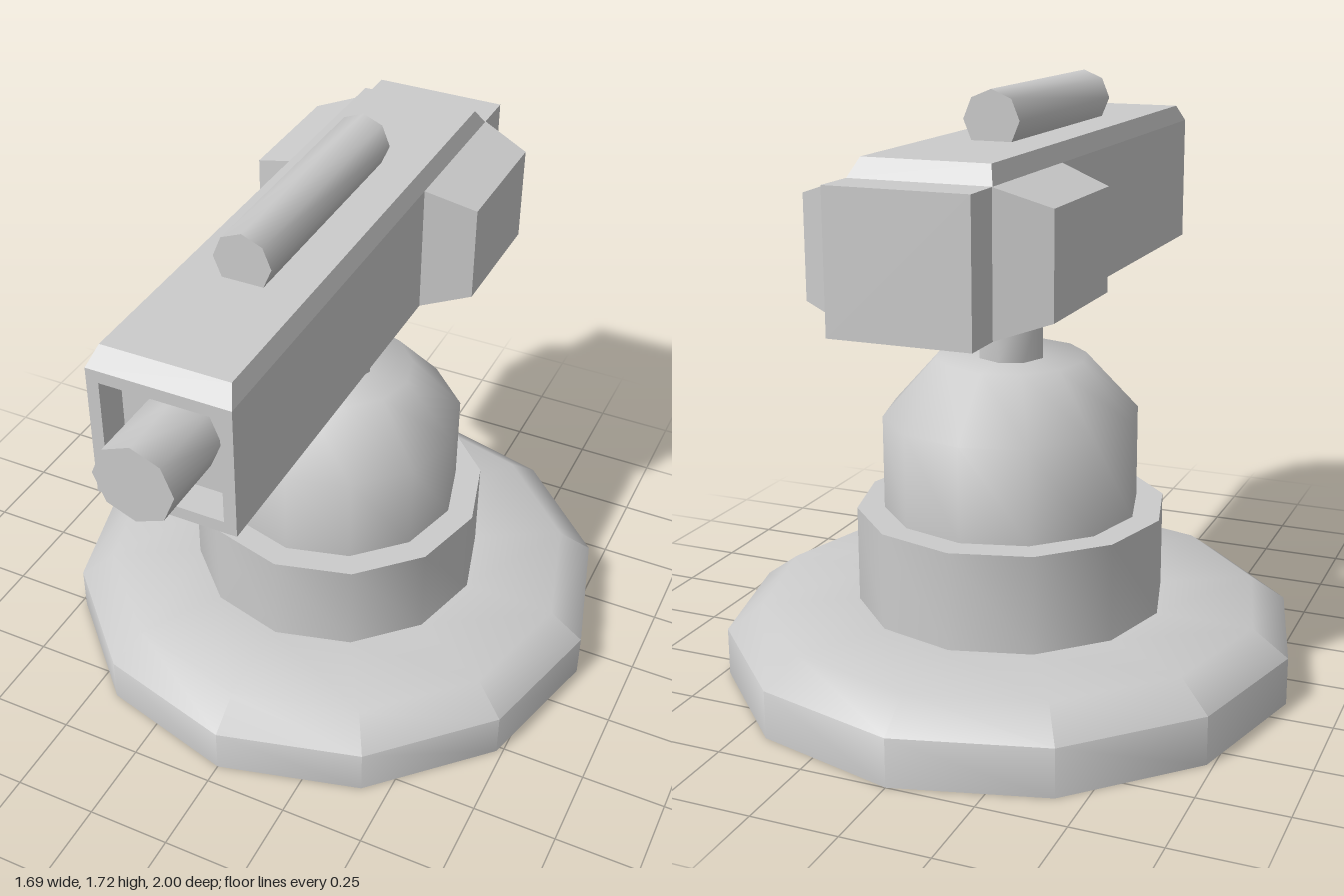
import * as THREE from 'three';
import { toCreasedNormals } from 'three/addons/utils/BufferGeometryUtils.js';

const shell = new THREE.MeshStandardMaterial({ color: 0xcccccc, side: THREE.DoubleSide });
const CENTER_Z = -0.155;

// Flat-shaded mesh from four-cornered faces
function quadMesh(name, quads) {
  const pos = [];
  for (const [a, b, c, d] of quads) pos.push(...a, ...b, ...c, ...a, ...c, ...d);
  const geo = new THREE.BufferGeometry();
  geo.setAttribute('position', new THREE.Float32BufferAttribute(pos, 3));
  geo.computeVertexNormals();
  const mesh = new THREE.Mesh(geo, shell);
  mesh.name = name;
  return mesh;
}

// Walls between successive four-cornered loops, closed by the last loop
function loft(loops) {
  const quads = [];
  for (let k = 0; k < loops.length - 1; k++) {
    const a = loops[k], b = loops[k + 1];
    for (let i = 0; i < 4; i++) {
      const j = (i + 1) % 4;
      quads.push([a[i], a[j], b[j], b[i]]);
    }
  }
  quads.push(loops[loops.length - 1]);
  return quads;
}

const rectY = (y, hx, zf, zb) => [[hx, y, zf], [hx, y, zb], [-hx, y, zb], [-hx, y, zf]];
const rectZ = (z, hx, y0, y1) => [[-hx, y0, z], [hx, y0, z], [hx, y1, z], [-hx, y1, z]];
function rectX(x, zf, zb, y0, y1) {
  const loop = [[x, y0, zf], [x, y0, zb], [x, y1, zb], [x, y1, zf]];
  return x < 0 ? loop.reverse() : loop;
}

// Twelve-sided turned part of the pedestal
function turned(name, profile) {
  const geo = new THREE.LatheGeometry(profile.map(([r, y]) => new THREE.Vector2(r, y)), 12);
  const mesh = new THREE.Mesh(toCreasedNormals(geo, 1), shell);
  mesh.name = name;
  mesh.position.z = CENTER_Z;
  return mesh;
}

// Octagonal rod lying along z
function rod(name, radius, y, zf, zb) {
  const geo = new THREE.CylinderGeometry(radius, radius, zf - zb, 8).rotateX(Math.PI / 2);
  const mesh = new THREE.Mesh(toCreasedNormals(geo, 1), shell);
  mesh.name = name;
  mesh.position.set(0, y, (zf + zb) / 2);
  return mesh;
}

export function createModel() {
  const model = new THREE.Group();
  model.name = 'turret';

  // Hollow stepped pedestal, open underneath
  model.add(
    turned('baseFlange', [[0.845, 0], [0.845, 0.14], [0.74, 0.215], [0.455, 0.215]]),
    turned('lowerDrum', [[0.455, 0.215], [0.455, 0.5], [0.375, 0.5]]),
    turned('dome', [[0.375, 0.5], [0.375, 0.775], [0.22, 0.945], [0, 0.945]]),
  );
  const post = new THREE.Mesh(
    toCreasedNormals(new THREE.CylinderGeometry(0.098, 0.098, 0.17, 8), 1), shell);
  post.name = 'post';
  post.position.set(0, 1.03, CENTER_Z);
  model.add(post);

  const gun = new THREE.Group();
  gun.name = 'gun';
  model.add(gun);

  // Housing walls and rear deck, open underneath
  const low = 1.14, high = 1.525, front = 0.865, step = -0.745, rear = -0.875;
  const bottom = rectY(low, 0.2, front, rear), top = rectY(high, 0.2, front, rear);
  const walls = [0, 1, 2].map(i => [bottom[i], bottom[i + 1], top[i + 1], top[i]]);
  gun.add(
    quadMesh('housing', [...walls, rectY(high, 0.2, step, rear)]),
    quadMesh('roof', loft([rectY(high, 0.2, front, step), rectY(1.575, 0.18, 0.825, -0.705)])),
    // Front frame with a recess around the barrel
    quadMesh('muzzleFrame', loft([
      rectZ(front, 0.2, low, high), rectZ(front, 0.165, 1.175, 1.49), rectZ(0.77, 0.165, 1.175, 1.49),
    ])),
    rod('barrel', 0.113, 1.333, 1, 0.76),
    rod('sight', 0.083, 1.632, 0.435, -0.29),
  );

  // Tapered pods on both sides
  for (const s of [1, -1]) {
    gun.add(quadMesh(s > 0 ? 'leftPod' : 'rightPod', loft([
      rectX(s * 0.2, -0.275, -0.75, low, high), rectX(s * 0.347, -0.315, -0.71, 1.19, 1.475),
    ])));
  }
  return model;
}
